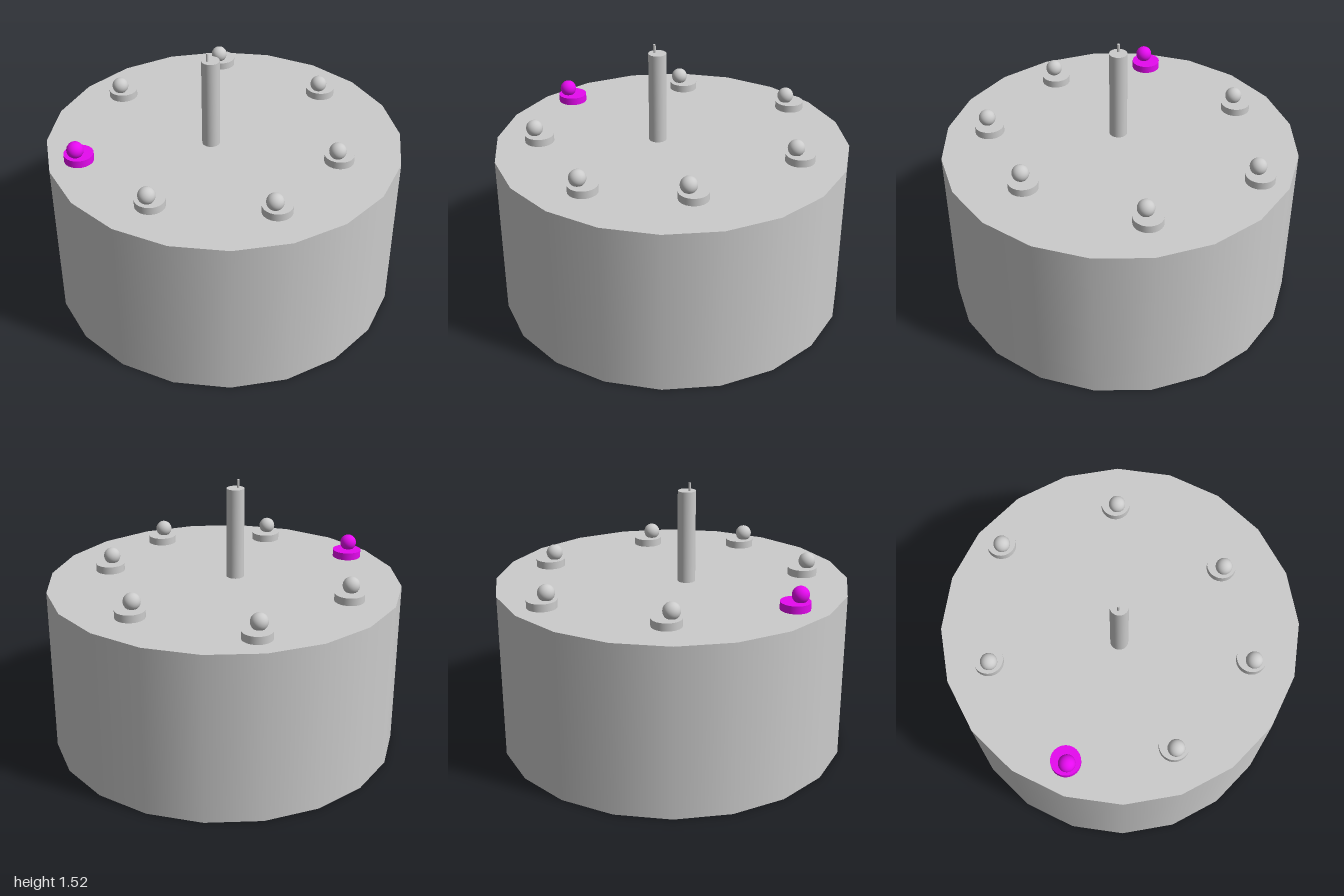
import * as THREE from 'three';

const grey = new THREE.MeshStandardMaterial({ color: 0xcccccc });
const magenta = new THREE.MeshStandardMaterial({ color: 0xe60af0 });

function addMesh(parent, name, geometry, material, x, y, z) {
  const mesh = new THREE.Mesh(geometry, material);
  mesh.name = name;
  mesh.position.set(x, y, z);
  parent.add(mesh);
  return mesh;
}

// Upright cylinder between two heights
function addCylinder(parent, name, radius, bottom, top, sides, material, x = 0, z = 0) {
  const geometry = new THREE.CylinderGeometry(radius, radius, top - bottom, sides);
  return addMesh(parent, name, geometry, material, x, (top + bottom) / 2, z);
}

export function createModel() {
  const cake = new THREE.Group();
  cake.name = 'cake';

  // Twenty-sided cake body
  addCylinder(cake, 'cakeBody', 1, 0, 0.957, 20, grey);

  // Candle with an off-centre wick
  const candle = new THREE.Group();
  candle.name = 'candle';
  addCylinder(candle, 'candleStick', 0.05, 0.957, 1.477, 32, grey, -0.057, 0.068);
  addCylinder(candle, 'wick', 0.007, 1.45, 1.523, 16, grey, -0.071, 0.08);
  cake.add(candle);

  // Ring of toppings: a disc with a ball sitting slightly off its centre
  const toppings = [
    [-0.25, -0.8], [0.424, -0.61], [0.67, 0.064], [0.453, 0.596],
    [-0.186, 0.726], [-0.695, 0.447, magenta], [-0.706, -0.262],
  ];
  const ball = new THREE.SphereGeometry(0.047, 32, 16);
  for (const [x, z, material = grey] of toppings) {
    const topping = new THREE.Group();
    topping.name = 'topping';
    addCylinder(topping, 'creamDisc', 0.082, 0.967, 1.01, 32, material, x, z);
    addMesh(topping, 'cherry', ball, material, x - 0.007, 1.045, z + 0.024);
    cake.add(topping);
  }

  return cake;
}
